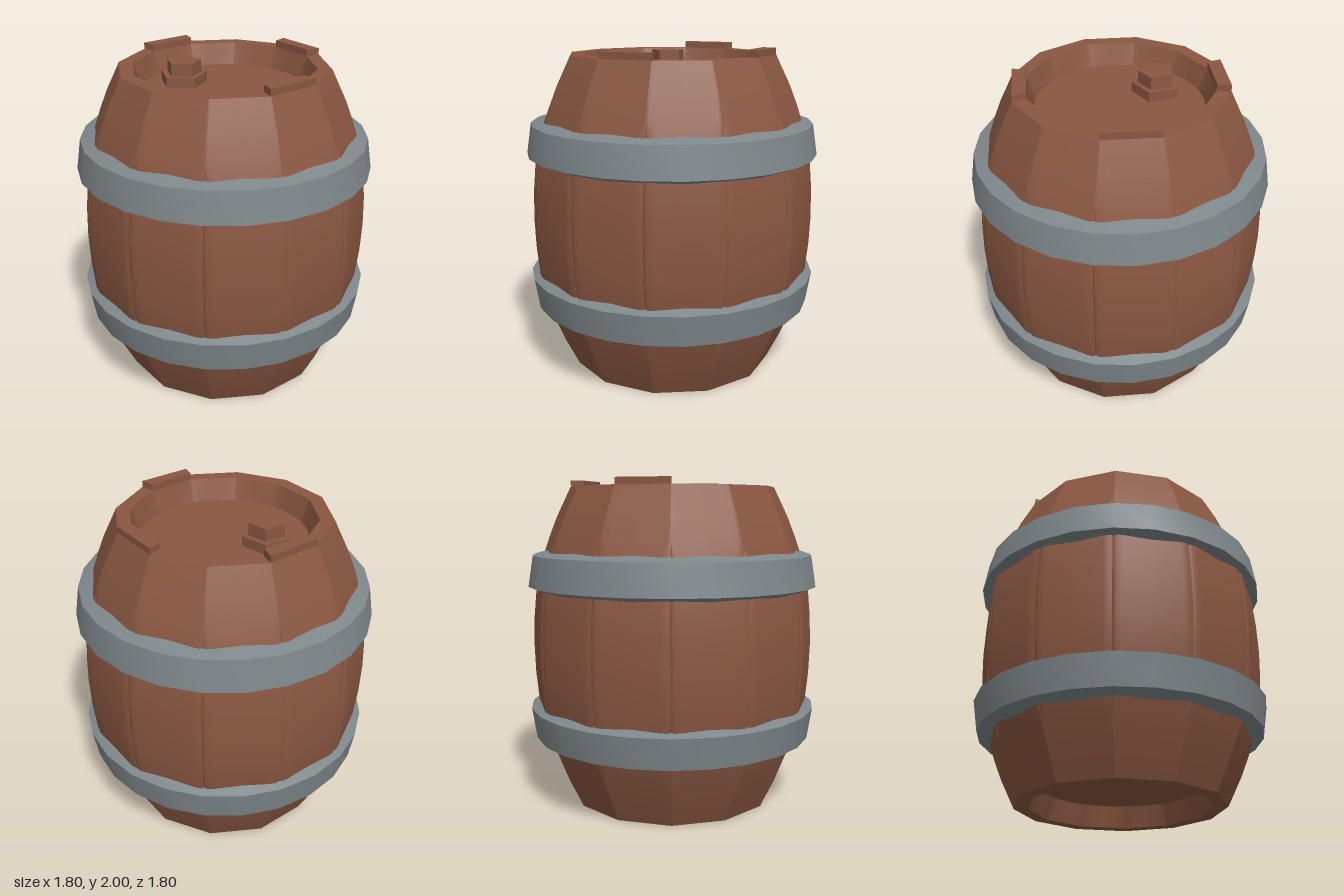
import * as THREE from 'three';
import { toCreasedNormals } from 'three/addons/utils/BufferGeometryUtils.js';

const STAVES = 12, HALF = Math.PI / STAVES, RIM = 1.96, FLOOR = 1.83;

// [position across half a stave, share of the groove depth]
const edge = [[0.75, 0], [0.9, 0.14], [0.97, 0.45]];
const section = [[-1, 1], ...edge.map(([u, d]) => [-u, d]).reverse(), [0, 0], ...edge];

// Lower half of the shell, from the recessed end to the waist: [y, apothem, groove, round]
const lower = [
  [RIM - FLOOR, 0.495, 0, true], [0, 0.53, 0], [0, 0.612, 0], [0.18, 0.697, 0], [0.31, 0.748, 0.001],
  [0.39, 0.779, 0.017], [0.5, 0.812, 0.024], [0.63, 0.838, 0.026], [0.8, 0.854, 0.027], [0.98, 0.86, 0.028],
];

function barrelShell() {
  const rows = [...lower, ...lower.slice(0, -1).reverse().map(([y, ...r]) => [RIM - y, ...r])];
  const pos = [], index = [], cols = STAVES * section.length;
  for (const [y, a, groove, round] of rows) {
    for (let s = 0; s < STAVES; s++) {
      const t = s * 2 * HALF;
      for (const [u, d] of section) {
        let n = a - d * groove, w = u * a * Math.tan(HALF);
        if (round) { n = a * Math.cos(u * HALF); w = a * Math.sin(u * HALF); }
        pos.push(n * Math.sin(t) + w * Math.cos(t), y, n * Math.cos(t) - w * Math.sin(t));
      }
    }
  }
  for (let r = 0; r < rows.length - 1; r++) {
    for (let c = 0; c < cols; c++) {
      const a = r * cols + c, b = r * cols + (c + 1) % cols;
      index.push(a, b, b + cols, a, b + cols, a + cols);
    }
  }
  const g = new THREE.BufferGeometry();
  g.setAttribute('position', new THREE.Float32BufferAttribute(pos, 3));
  g.setIndex(index);
  return toCreasedNormals(g, 0.7);
}

// Raised end of one stave, standing on the rim
function staveEnd() {
  const k = Math.tan(HALF), o = 0.61, i = 0.53;
  const shape = new THREE.Shape([[-o * k, -o], [o * k, -o], [i * k, -i], [-i * k, -i]]
    .map(([x, y]) => new THREE.Vector2(x, y)));
  return new THREE.ExtrudeGeometry(shape, { depth: 0.05, bevelEnabled: false })
    .rotateX(-Math.PI / 2).translate(0, RIM - 0.01, 0);
}

export function createModel() {
  const wood = new THREE.MeshStandardMaterial({ color: 0x8a5741 });
  wood.name = 'brown wood';
  const iron = new THREE.MeshStandardMaterial({ color: 0x7e878b });
  iron.name = 'grey iron';

  const barrel = new THREE.Group();
  barrel.name = 'barrel';
  const add = (name, geometry, material) => {
    const mesh = new THREE.Mesh(geometry, material);
    mesh.name = name;
    barrel.add(mesh);
    return mesh;
  };

  add('staves', barrelShell(), wood);

  // Recessed ends
  add('lid', new THREE.CircleGeometry(0.5, 24).rotateX(-Math.PI / 2).translate(0, FLOOR, 0), wood);
  add('base', new THREE.CircleGeometry(0.5, 24).rotateX(Math.PI / 2).translate(0, RIM - FLOOR, 0), wood);

  // Three staves stand proud of the rim
  for (const deg of [60, 150, 240]) {
    add('raisedStave', staveEnd(), wood).rotation.y = THREE.MathUtils.degToRad(deg);
  }

  // Hoops, mirrored about the waist
  const hoop = [[0.8, 1.315], [0.9, 1.359], [0.87, 1.547], [0.74, 1.587]];
  const mirrored = hoop.map(([r, y]) => [r, RIM - y]).reverse();
  for (const [name, profile] of [['upperHoop', hoop], ['lowerHoop', mirrored]]) {
    const g = new THREE.LatheGeometry(profile.map(([r, y]) => new THREE.Vector2(r, y)), 24);
    add(name, toCreasedNormals(g, 0.5), iron);
  }

  // Five-sided bung on the lid
  const bung = (name, x, r, y, h) => add(name, toCreasedNormals(
    new THREE.CylinderGeometry(r, r, h, 5).rotateY(-Math.PI / 2).translate(x, y + h / 2, 0), 0.5), wood);
  bung('bungCollar', -0.265, 0.147, FLOOR, 0.06);
  bung('bungCap', -0.262, 0.108, FLOOR + 0.06, 0.075);

  return barrel;
}
